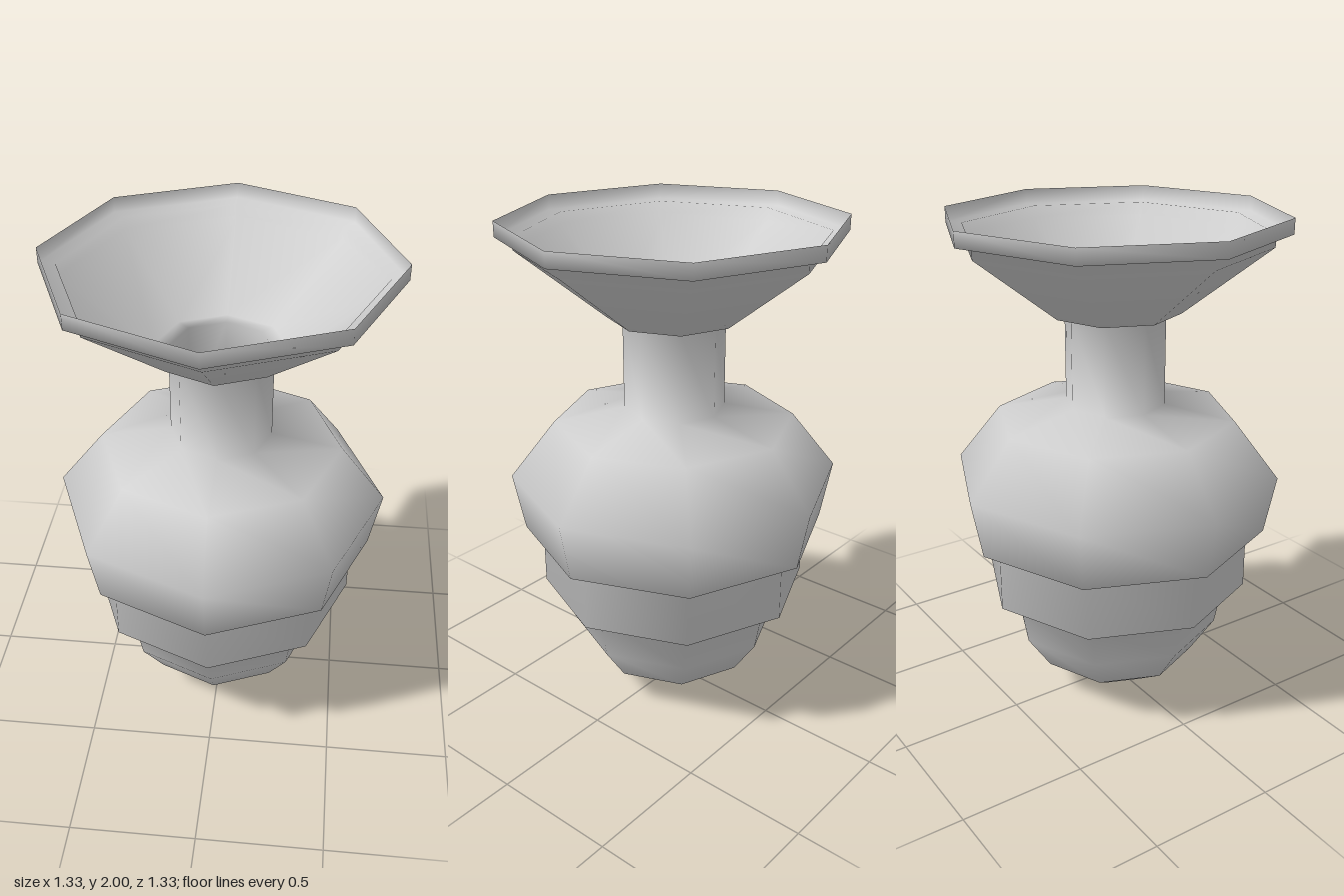
import * as THREE from 'three';

const SIDES = 8;

// Profile of each part as [radius, height], from the bottom up.
// Each part starts where the one before it ends.
const PARTS = {
  bulb: [[0, 0], [0.18, 0.04], [0.33, 0.14], [0.43, 0.29], [0.465, 0.48]],
  collar: [[0.465, 0.48], [0.545, 0.48], [0.545, 0.735]],
  body: [[0.545, 0.735], [0.615, 0.735], [0.66, 0.97], [0.48, 1.2], [0.2, 1.255]],
  neck: [[0.2, 1.255], [0.2, 1.625]],
  dish: [[0.2, 1.625], [0.26, 1.625], [0.6, 1.89], [0.6, 1.94]],
  rim: [[0.6, 1.94], [0.665, 1.94], [0.665, 2]],
};

const lathe = (profile) =>
  new THREE.LatheGeometry(profile.map(([r, y]) => new THREE.Vector2(r, y)), SIDES);

export function createModel() {
  const group = new THREE.Group();
  group.name = 'lamp';
  // Thin open shell, so both sides show
  const material = new THREE.MeshStandardMaterial({ color: 0xcccccc, side: THREE.DoubleSide });

  // The joined profile gives normals that run smoothly from part to part
  const profiles = Object.values(PARTS);
  const joined = profiles.flatMap((p, i) => (i ? p.slice(1) : p));
  const smooth = lathe(joined).attributes.normal;

  let start = 0;
  for (const [name, profile] of Object.entries(PARTS)) {
    const geometry = lathe(profile);
    const normal = geometry.attributes.normal;
    for (let i = 0; i <= SIDES; i++) {
      for (let j = 0; j < profile.length; j++) {
        const from = i * joined.length + start + j;
        normal.setXYZ(i * profile.length + j, smooth.getX(from), smooth.getY(from), smooth.getZ(from));
      }
    }
    start += profile.length - 1;

    const mesh = new THREE.Mesh(geometry, material);
    mesh.name = name;
    group.add(mesh);
  }
  return group;
}
